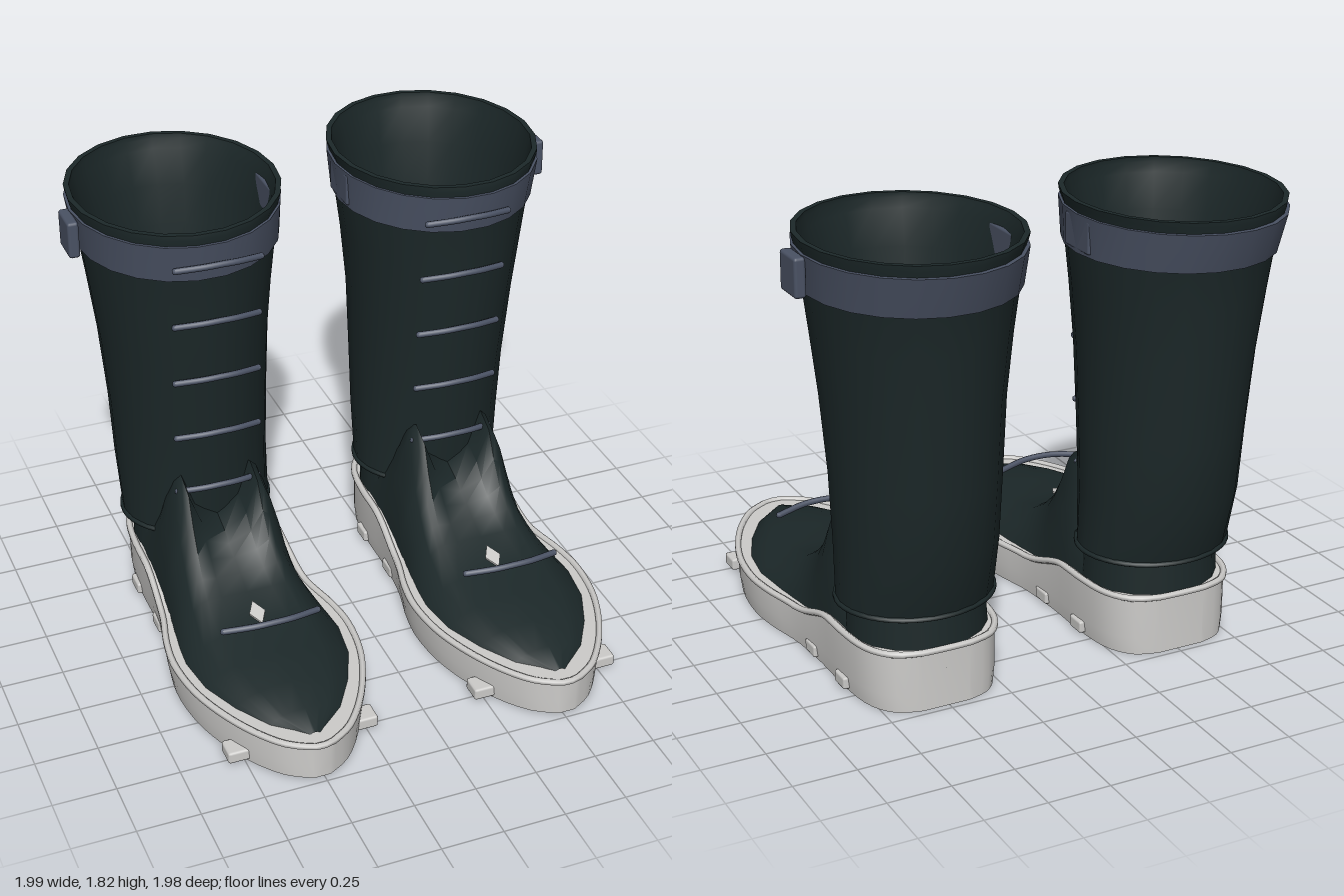
import * as THREE from 'three';
import { toCreasedNormals } from 'three/addons/utils/BufferGeometryUtils.js';
import { RoundedBoxGeometry } from 'three/addons/geometries/RoundedBoxGeometry.js';

const leather = new THREE.MeshStandardMaterial({ color: 0x1c2829, side: THREE.DoubleSide });
leather.name = 'dark leather';
const strapBlue = new THREE.MeshStandardMaterial({ color: 0x4a5264 });
strapBlue.name = 'slate blue strap';
const rubber = new THREE.MeshStandardMaterial({ color: 0xcdccca });
rubber.name = 'pale grey rubber';

// Skin a series of rings that all have the same number of points
function loft(rings, { closed = true, caps = false, crease = 0.7 } = {}) {
  const n = rings[0].length, index = [];
  const steps = closed ? n : n - 1;
  for (let i = 0; i < rings.length - 1; i++) {
    for (let j = 0; j < steps; j++) {
      const k = (j + 1) % n;
      const a = i * n + j, b = i * n + k, c = (i + 1) * n + k, d = (i + 1) * n + j;
      index.push(a, d, b, d, c, b);
    }
  }
  if (caps) {
    const last = (rings.length - 1) * n;
    for (let j = 1; j < n - 1; j++) {
      index.push(0, j, j + 1, last, last + j + 1, last + j);
    }
  }
  const geo = new THREE.BufferGeometry();
  geo.setAttribute('position', new THREE.Float32BufferAttribute(rings.flat(2), 3));
  geo.setIndex(index);
  return toCreasedNormals(geo, crease);
}

// Oval ring at height y, given its extents in x and z
function oval([y, x0, x1, z0, z1], side, inset = 0, sides = 22) {
  const cx = side * (x0 + x1) / 2, rx = (x1 - x0) / 2 - inset;
  const cz = (z0 + z1) / 2, rz = (z1 - z0) / 2 - inset;
  return Array.from({ length: sides }, (_, j) => {
    const a = j / sides * Math.PI * 2;
    return [cx + rx * Math.cos(a), y, cz + rz * Math.sin(a)];
  });
}

function add(parent, name, geometry, material, x = 0, y = 0, z = 0) {
  const mesh = new THREE.Mesh(geometry, material);
  mesh.name = name;
  mesh.position.set(x, y, z);
  parent.add(mesh);
  return mesh;
}

// Height of the sole's upper edge, rising towards the heel
const soleTop = z => 0.163 + 0.08 * THREE.MathUtils.smoothstep(-z, 0.0, 0.32);

// Sole outline from heel to toe: half width, z
const outline = new THREE.SplineCurve([
  [0.10, -0.725], [0.2, -0.69], [0.268, -0.59], [0.292, -0.42], [0.295, -0.2], [0.312, 0],
  [0.352, 0.18], [0.365, 0.34], [0.335, 0.54], [0.25, 0.75], [0.14, 0.91], [0.035, 0.98],
].map(([w, z]) => new THREE.Vector2(w, z))).getPoints(36);

// Shaft levels: y, inner x, outer x, back z, front z
const shaftRows = [
  [0.38, -0.30, 0.315, -0.735, -0.205], [0.62, -0.30, 0.325, -0.81, -0.18],
  [0.89, -0.305, 0.335, -0.845, -0.15], [1.2, -0.315, 0.36, -0.875, -0.115],
  [1.45, -0.337, 0.39, -0.907, -0.088], [1.62, -0.358, 0.413, -0.93, -0.072],
  [1.76, -0.367, 0.433, -0.965, -0.05], [1.8, -0.38, 0.445, -0.978, -0.04],
  [1.82, -0.385, 0.448, -0.98, -0.042],
];

// Vamp stations from rear to toe: z, half width, edge height, centre height
const vampRows = [
  [-0.46, 0.275, 0.42, 0.42], [-0.3, 0.278, 0.57, 0.46], [-0.25, 0.275, 0.65, 0.46],
  [-0.2, 0.275, 0.68, 0.46], [-0.11, 0.275, 0.635, 0.43], [-0.06, 0.28, 0.52, 0.40],
  [0, 0.285, 0.42, 0.37], [0.07, 0.298, 0.35, 0.335], [0.15, 0.312, 0.3, 0.3],
  [0.33, 0.337, 0.245, 0.264], [0.5, 0.315, 0.23, 0.25], [0.66, 0.25, 0.212, 0.228],
  [0.8, 0.165, 0.19, 0.2], [0.91, 0.03, 0.165, 0.17],
];
const vampSide = [[1, 0], [0.94, 0.28], [0.85, 0.52], [0.73, 0.78], [0.62, 0.95], [0.53, 1]];

function vampRing([z, w, edge, centre]) {
  const base = soleTop(z) - 0.025;
  const half = vampSide.map(([u, v]) => [u * w, base + (edge - base) * v, z]);
  half.push([0.34 * w, THREE.MathUtils.lerp(edge, centre, 0.7), z]);
  return [...half.map(([x, y]) => [-x, y, z]), [0, centre, z], ...half.reverse()];
}

function createBoot(side) {
  const boot = new THREE.Group();

  // Sole and the welt along its upper edge
  add(boot, 'sole', loft(outline.map(({ x: w, y: z }) => {
    const low = z > 0.8 ? (z - 0.8) * 0.06 : 0, top = soleTop(z);
    return [[-w * 0.97, low, z], [-w, 0.07, z], [-w, top, z], [w, top, z], [w, 0.07, z], [w * 0.97, low, z]];
  }), { caps: true }), rubber);
  const edge = s => outline.map(p => new THREE.Vector3(s * p.x, soleTop(p.y), p.y));
  const weltPath = new THREE.CatmullRomCurve3([...edge(1), ...edge(-1).reverse()], true);
  add(boot, 'welt', new THREE.TubeGeometry(weltPath, 110, 0.014, 6, true), rubber);

  // Small grips along the sole
  for (const z of [0.745, -0.13, -0.418]) {
    for (const s of [-1, 1]) {
      add(boot, 'grip', new RoundedBoxGeometry(0.09, 0.05, 0.09, 1, 0.01), rubber, s * 0.262, 0.035, z);
    }
  }

  // Foot: vamp with raised wings, and the heel inside the shaft
  add(boot, 'vamp', loft(vampRows.map(vampRing), { closed: false, crease: 0.9 }), leather);
  const heel = new THREE.CylinderGeometry(0.265, 0.282, 0.26, 18);
  heel.scale(1, 1, 0.93);
  add(boot, 'heelCounter', heel, leather, 0, 0.29, -0.463);

  // Shaft: outer wall up, inner wall back down
  const rings = [
    ...shaftRows.map(r => oval(r, side)),
    ...[...shaftRows].reverse().map(r => oval(r, side, 0.022)),
  ];
  rings.push(rings[0]);
  add(boot, 'shaft', loft(rings), leather);
  const hem = new THREE.CatmullRomCurve3(oval(shaftRows[0], side).map(p => new THREE.Vector3(...p)), true);
  add(boot, 'shaftHem', new THREE.TubeGeometry(hem, 44, 0.011, 6, true), leather);

  // Cuff strap with a buckle outside and a keeper inside
  const cuffRows = [[1.62, -0.372, 0.427, -0.942, -0.06], [1.775, -0.382, 0.449, -0.99, -0.034]];
  const cuff = [
    oval(cuffRows[0], side, 0.025), ...cuffRows.map(r => oval(r, side)), oval(cuffRows[1], side, 0.025),
  ];
  add(boot, 'cuffStrap', loft(cuff), strapBlue);
  add(boot, 'buckle', new RoundedBoxGeometry(0.045, 0.15, 0.14, 2, 0.012), strapBlue, side * 0.462, 1.697, -0.47);
  add(boot, 'strapKeeper', new RoundedBoxGeometry(0.04, 0.13, 0.18, 2, 0.01), strapBlue, side * -0.353, 1.697, -0.5);

  // Laces: y, z, half length
  for (const [y, z, half] of [
    [0.37, 0.465, 0.195], [0.637, -0.14, 0.17], [0.9, -0.12, 0.17],
    [1.163, -0.1, 0.17], [1.427, -0.072, 0.17], [1.69, -0.032, 0.17],
  ]) {
    const path = new THREE.CatmullRomCurve3([
      [-half, -0.015, -0.035], [-half * 0.4, -0.003, -0.005], [0, 0, 0],
      [half * 0.4, -0.003, -0.005], [half, -0.015, -0.035],
    ].map(p => new THREE.Vector3(...p)));
    const lace = new THREE.Group();
    lace.name = 'lace';
    lace.position.set(0, y, z);
    add(lace, 'cord', new THREE.TubeGeometry(path, 14, 0.013, 8), strapBlue);
    for (const t of [0, 1]) {
      const tip = path.getPoint(t);
      add(lace, 'cordEnd', new THREE.SphereGeometry(0.013, 8, 6), strapBlue, tip.x, tip.y, tip.z);
    }
    boot.add(lace);
  }

  // Pale diamond on the instep
  const diamond = new THREE.CylinderGeometry(1, 1, 0.008, 4);
  diamond.scale(0.033, 1, 0.062);
  add(boot, 'instepDiamond', diamond, rubber, 0, 0.282, 0.27).rotation.x = 0.2;
  return boot;
}

export function createModel() {
  const model = new THREE.Group();
  model.name = 'pairOfBoots';
  for (const side of [-1, 1]) {
    const boot = createBoot(side);
    boot.name = side > 0 ? 'leftBoot' : 'rightBoot';
    boot.position.x = side * 0.512;
    model.add(boot);
  }
  return model;
}
